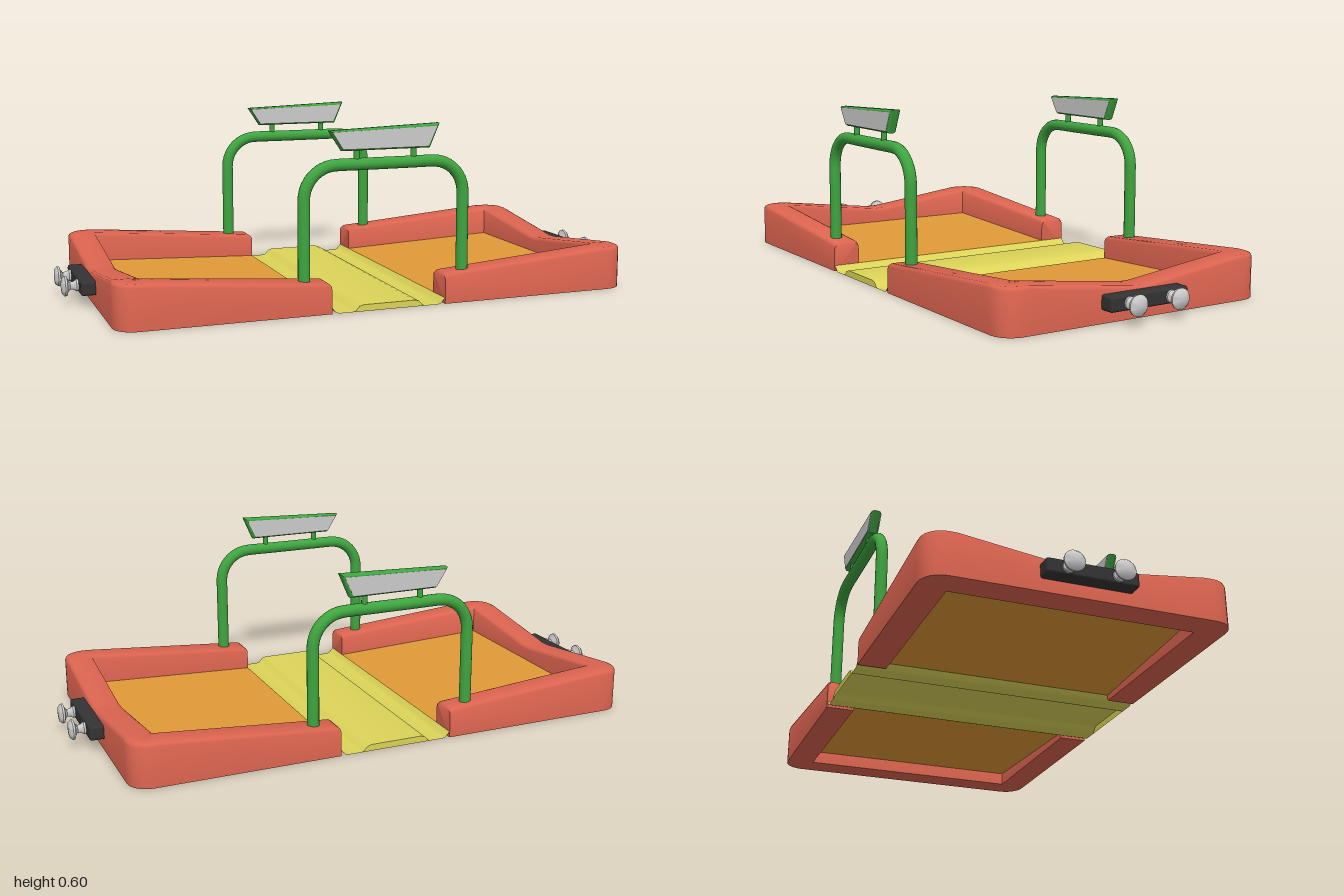
import * as THREE from 'three';
import { toCreasedNormals } from 'three/addons/utils/BufferGeometryUtils.js';
import { RoundedBoxGeometry } from 'three/addons/geometries/RoundedBoxGeometry.js';

const mat = (color, side = THREE.FrontSide) => new THREE.MeshStandardMaterial({ color, side });
const red = mat(0xdc6450), green = mat(0x3fa540), black = mat(0x333333), grey = mat(0xcccccc);
const orange = mat(0xe09a38, THREE.DoubleSide), yellow = mat(0xdcd458, THREE.DoubleSide);

function add(parent, name, geometry, material, x = 0, y = 0, z = 0) {
  const mesh = new THREE.Mesh(geometry, material);
  mesh.name = name;
  mesh.position.set(x, y, z);
  parent.add(mesh);
  return mesh;
}

// Skins closed cross-sections (arrays of [x, y, z]) and caps both ends
function loft(sections) {
  const n = sections[0].length, index = [];
  for (let s = 0; s < sections.length - 1; s++) {
    for (let i = 0; i < n; i++) {
      const a = s * n + i, b = s * n + (i + 1) % n;
      index.push(a, a + n, b, b, a + n, b + n);
    }
  }
  const last = (sections.length - 1) * n;
  for (let i = 1; i < n - 1; i++) index.push(0, i, i + 1, last, last + i + 1, last + i);
  const g = new THREE.BufferGeometry();
  g.setAttribute('position', new THREE.Float32BufferAttribute(sections.flat(2), 3));
  g.setIndex(index);
  return toCreasedNormals(g, 0.9);
}

// Sloping C-shaped rim around one half of the deck
function rimGeometry() {
  const X = 0.896, Z = 0.496, r = 0.07;
  const stations = [[0.2, Z, 0.2, 0.4, 0.092], [0.21, Z, 0.21, 0.4, 0.1], [0.8, Z, 0.8, 0.4, 0.147]];
  for (let i = 0; i <= 6; i++) {
    const a = Math.PI / 2 * (1 - i / 6);
    stations.push([X - r + r * Math.cos(a), Z - r + r * Math.sin(a), 0.8, 0.4, 0.147]);
  }
  stations.push([X, 0.4, 0.8, 0.4, 0.147], [X, 0.02, 0.8, 0.02, 0.099]);
  const mirrored = stations.slice().reverse().map(([ox, oz, ix, iz, h]) => [ox, -oz, ix, -iz, h]);
  const b = 0.012;
  return loft([...stations, ...mirrored].map(([ox, oz, ix, iz, h]) => {
    const e = b / Math.hypot(ox - ix, oz - iz);
    const at = (t, y) => [ox + (ix - ox) * t, y, oz + (iz - oz) * t];
    return [at(0, 0), at(0, h - b), at(e * 0.3, h - b * 0.3), at(e, h),
      at(1 - e, h), at(1 - e * 0.3, h - b * 0.3), at(1, h - b), at(1, 0)];
  }));
}

// Sheet following a profile in x/y, running along z
function sheet(profile, halfDepth) {
  const g = new THREE.PlaneGeometry(1, 2 * halfDepth, profile.length - 1, 1);
  g.rotateX(-Math.PI / 2);
  const p = g.attributes.position;
  for (let i = 0; i < p.count; i++) {
    const [x, y] = profile[i % profile.length];
    p.setX(i, x);
    p.setY(i, y);
  }
  return toCreasedNormals(g, 0.7);
}

const shapeOf = corners => new THREE.Shape(corners.map(c => new THREE.Vector2(...c)));

// Hoop of bent tube with a tapered panel on two pegs
function hoop(name, z) {
  const g = new THREE.Group();
  g.name = name;
  g.position.z = z;
  const v = (x, y) => new THREE.Vector3(x, y, 0);
  const pts = [v(-0.28, 0.09), v(-0.28, 0.25), v(-0.28, 0.355)];
  const r = 0.11;
  for (let i = 0; i <= 8; i++) {
    const a = Math.PI - i / 8 * Math.PI / 2;
    pts.push(v(-0.17 + r * Math.cos(a), 0.366 + r * Math.sin(a)));
  }
  pts.push(v(-0.08, 0.476));
  const all = [...pts, ...pts.slice().reverse().map(p => v(-p.x, p.y))];
  add(g, 'hoopTube', new THREE.TubeGeometry(new THREE.CatmullRomCurve3(all), 80, 0.02, 16), green);
  for (const x of [-0.1, 0.1]) add(g, 'panelPeg', new THREE.CylinderGeometry(0.01, 0.01, 0.07, 12), green, x, 0.505);

  const body = new THREE.ExtrudeGeometry(
    shapeOf([[-0.146, 0.533], [0.146, 0.533], [0.174, 0.592], [-0.18, 0.58]]),
    { depth: 0.014, bevelSize: 0.012, bevelThickness: 0.0115, bevelSegments: 4 });
  body.translate(0, 0, -0.007);
  add(g, 'panelBody', toCreasedNormals(body, 0.8), green);
  const face = new THREE.ExtrudeGeometry(
    shapeOf([[-0.152, 0.527], [0.146, 0.527], [0.176, 0.592], [-0.188, 0.583]]),
    { depth: 0.0376, bevelEnabled: false });
  face.translate(0, 0, -0.0188);
  add(g, 'panelFaces', face, grey);
  return g;
}

// Bumper block with two mushroom-shaped buffers
function bumper(name) {
  const g = new THREE.Group();
  g.name = name;
  add(g, 'bumperBlock', new RoundedBoxGeometry(0.055, 0.048, 0.296, 3, 0.008), black, 0.916, 0.066);
  const profile = [[0, 0.93], [0.02, 0.94], [0.02, 0.95], [0.014, 0.957], [0.013, 0.97], [0.022, 0.977],
    [0.033, 0.981], [0.034, 0.988], [0.026, 0.996], [0, 1]].map(p => new THREE.Vector2(...p));
  const buffer = toCreasedNormals(new THREE.LatheGeometry(profile, 24), 0.7);
  buffer.rotateZ(-Math.PI / 2);
  for (const z of [-0.08, 0.08]) add(g, 'buffer', buffer, grey, 0, 0.066, z);
  return g;
}

export function createModel() {
  const model = new THREE.Group();
  model.name = 'deck';

  // Both halves are the same, turned about the middle
  const rim = rimGeometry();
  const floor = sheet([[0.2, 0.02], [0.8, 0.045]], 0.4);
  ['left', 'right'].forEach((side, i) => {
    const half = new THREE.Group();
    half.name = side + 'Half';
    half.rotation.y = i * Math.PI;
    add(half, 'rim', rim, red);
    add(half, 'floor', floor, orange);
    half.add(bumper('bumper'));
    model.add(half);
  });

  // Raised centre walkway with a groove at each side and closed ends
  const side = [[0.09, 0.022], [0.105, 0.018], [0.12, 0.002], [0.13, 0], [0.175, 0], [0.185, 0.003], [0.195, 0.015], [0.2, 0.02]];
  const profile = [...side.slice().reverse().map(([x, y]) => [-x, y]), ...side];
  add(model, 'walkway', sheet(profile, 0.495), yellow);
  const end = new THREE.ShapeGeometry(shapeOf(profile.filter(([x]) => Math.abs(x) <= 0.13)));
  for (const z of [-0.495, 0.495]) add(model, 'walkwayEnd', end, yellow, 0, 0, z);

  model.add(hoop('frontHoop', 0.45), hoop('backHoop', -0.45));
  return model;
}
